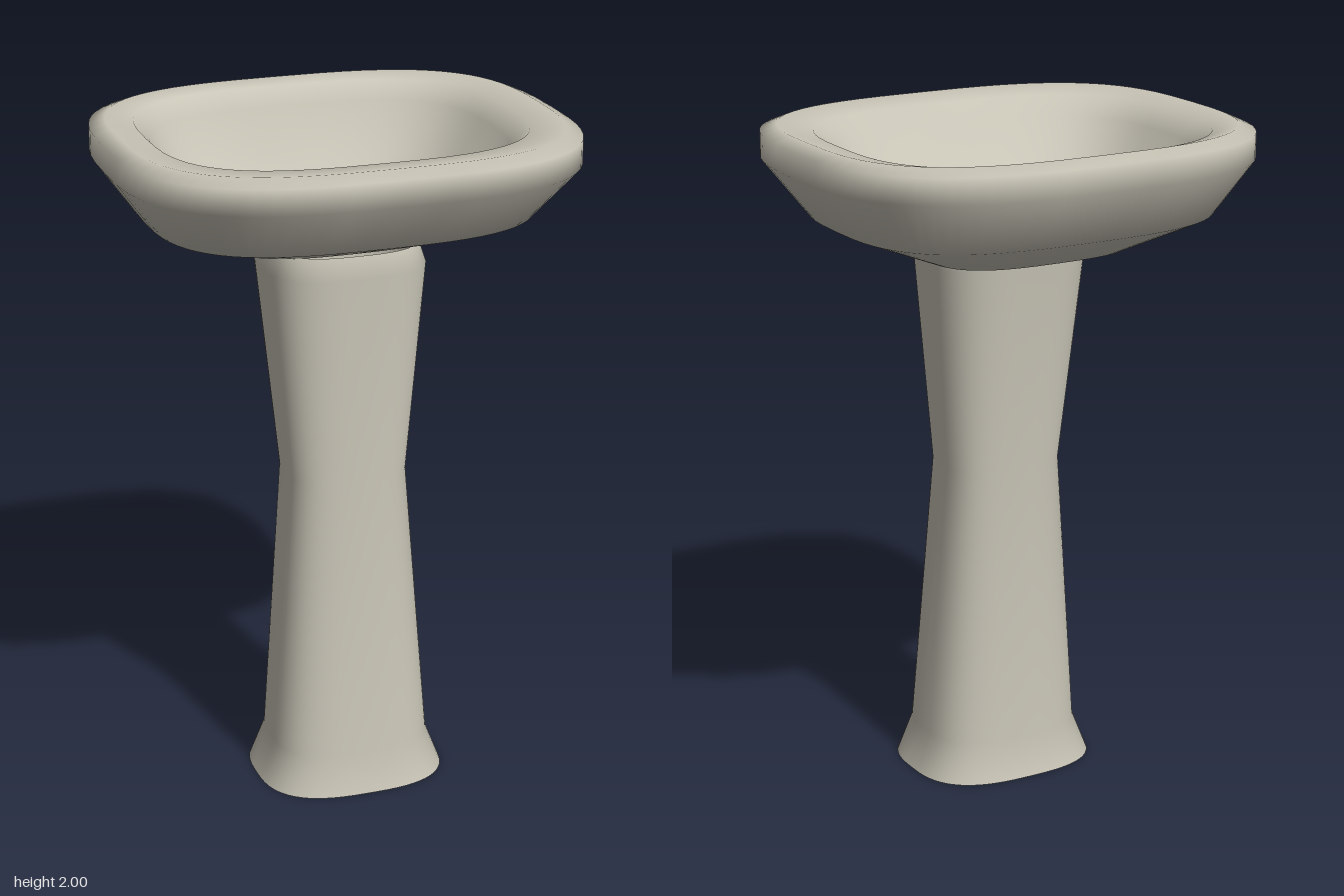
import * as THREE from 'three';

// Loft through rounded-square rings; each ring is [y, halfX, halfZ, centreZ].
// Rings running upward face outward, rings shrinking inward face up.
function loft(rings, power = 3, sides = 64) {
  const pos = [], idx = [];
  const round = (v) => Math.sign(v) * Math.pow(Math.abs(v), 2 / power);
  for (const [y, hx, hz, cz] of rings) {
    for (let i = 0; i < sides; i++) {
      const t = (i / sides) * Math.PI * 2;
      pos.push(hx * round(Math.cos(t)), y, cz + hz * round(Math.sin(t)));
    }
  }
  for (let r = 0; r < rings.length - 1; r++) {
    for (let i = 0; i < sides; i++) {
      const j = (i + 1) % sides;
      const a = r * sides + i, b = r * sides + j;
      const c = a + sides, d = b + sides;
      idx.push(a, c, b, b, c, d);
    }
  }
  const g = new THREE.BufferGeometry();
  g.setAttribute('position', new THREE.Float32BufferAttribute(pos, 3));
  g.setIndex(idx);
  g.computeVertexNormals();
  return g;
}

export function createModel() {
  const group = new THREE.Group();
  const ceramic = new THREE.MeshStandardMaterial({ color: 0xc8c4b6, side: THREE.DoubleSide });
  ceramic.name = 'ceramic';
  const copper = new THREE.MeshStandardMaterial({ color: 0x7a4a30, side: THREE.DoubleSide });
  copper.name = 'drainBrown';

  const add = (name, geometry, material) => {
    const mesh = new THREE.Mesh(geometry, material);
    mesh.name = name;
    group.add(mesh);
    return mesh;
  };

  // Basin: outside, over the rolled rim and down the inner wall
  add('basin', loft([
    [1.645, 0.31, 0.222, -0.068],
    [1.745, 0.56, 0.457, -0.022],
    [1.905, 0.675, 0.577, 0],
    [1.98, 0.675, 0.577, 0],
    [2.0, 0.63, 0.532, 0],
    [1.985, 0.545, 0.45, -0.03],
    [1.93, 0.5, 0.405, -0.045],
    [1.79, 0.42, 0.335, -0.06],
    [1.68, 0.265, 0.217, -0.075],
  ]), ceramic);

  // Flat floor inside the bowl and flat underside
  add('bowlFloor', loft([
    [1.68, 0.265, 0.217, -0.075],
    [1.68, 0, 0, -0.075],
  ]), ceramic);
  add('basinUnderside', loft([
    [1.645, 0, 0, -0.068],
    [1.645, 0.31, 0.222, -0.068],
  ]), ceramic);

  // Waisted pedestal, open at the foot
  add('pedestal', loft([
    [0, 0.285, 0.238, 0.098],
    [0.12, 0.24, 0.203, 0.098],
    [0.97, 0.18, 0.155, 0.075],
    [1.6, 0.24, 0.203, 0.052],
    [1.665, 0.22, 0.188, 0.048],
  ], 2.8), ceramic);

  // Drain ring on the bowl floor
  const drain = add('drainRing', new THREE.RingGeometry(0.06, 0.108, 14), copper);
  drain.rotation.x = -Math.PI / 2;
  drain.position.set(0, 1.685, -0.075);

  return group;
}
